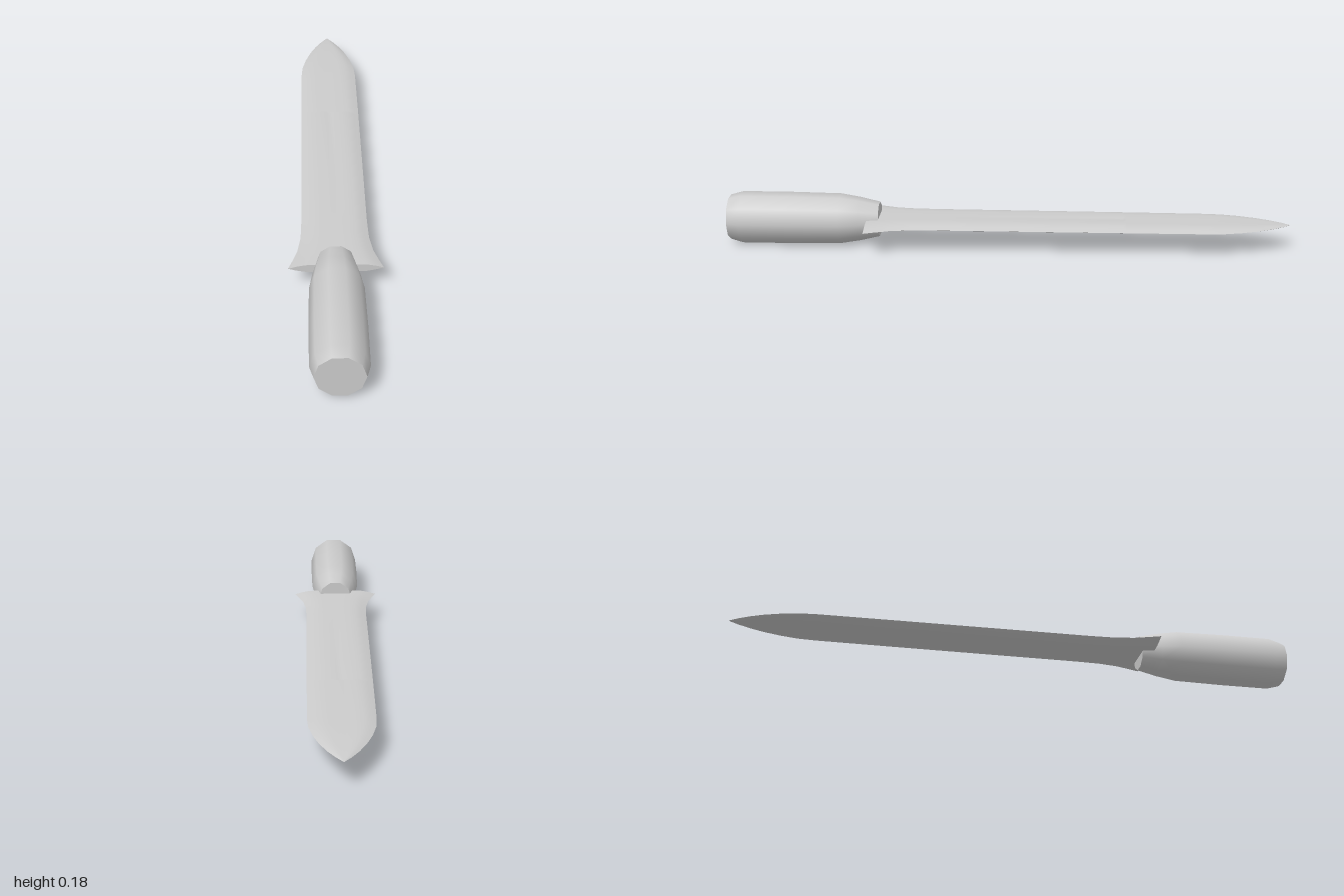
import * as THREE from 'three';

const CY = 0.09; // height of the long axis

// Skin over a grid of points; flip reverses the facing
function skin(rows, flip) {
  const n = rows[0].length, pos = rows.flat(2), idx = [];
  for (let r = 0; r < rows.length - 1; r++) {
    for (let c = 0; c < n - 1; c++) {
      const a = r * n + c, b = a + 1, d = a + n, e = d + 1;
      if (flip) idx.push(a, d, b, b, d, e);
      else idx.push(a, b, d, b, e, d);
    }
  }
  const g = new THREE.BufferGeometry();
  g.setAttribute('position', new THREE.Float32BufferAttribute(pos, 3));
  g.setIndex(idx);
  g.computeVertexNormals();
  return g;
}

export function createModel() {
  const model = new THREE.Group();
  const steel = new THREE.MeshStandardMaterial({ color: 0xcccccc });
  steel.name = 'light grey';
  const add = (name, geo, parent = model) => {
    const m = new THREE.Mesh(geo, steel);
    m.name = name;
    parent.add(m);
    return m;
  };

  // Blade stations: z, half width, half thickness, groove depth
  const stations = [
    [0.5, 0.157, 0.015, 0], [0.46, 0.142, 0.015, 0], [0.41, 0.126, 0.015, 0],
    [0.34, 0.115, 0.015, 0], [0.25, 0.112, 0.015, 0], [0, 0.111, 0.0145, 0],
    [-0.41, 0.109, 0.0135, 0.003], [-0.42, 0.109, 0.0135, 0], [-0.7, 0.107, 0.0125, 0],
    [-0.76, 0.103, 0.012, 0], [-0.82, 0.09, 0.011, 0], [-0.88, 0.07, 0.009, 0],
    [-0.93, 0.047, 0.007, 0], [-0.97, 0.023, 0.004, 0], [-1, 0.0005, 0.0005, 0],
  ];
  // Lens section: fraction of half width, fraction of half thickness, in the groove
  const half = [[1, 0, 0], [0.83, 0.52, 0], [0.64, 0.92, 0], [0.4, 1, 0], [0.13, 1, 0], [0.1, 1, 1]];
  const section = [...half.map(([f, h, g]) => [-f, h, g]), ...half.slice().reverse()];
  const surface = (s) => stations.map(([z, w, t, d]) =>
    section.map(([f, h, g]) => [f * w, CY + s * (h * t - g * d), z]));

  const blade = new THREE.Group();
  blade.name = 'blade';
  model.add(blade);
  const upper = surface(1), lower = surface(-1);
  add('bladeUpperFace', skin(upper, false), blade);
  add('bladeLowerFace', skin(lower, true), blade);
  add('bladeBase', skin([lower[0], upper[0]], false), blade);

  // Ten-sided handle with a bevelled butt and a tapered neck
  const handle = new THREE.Group();
  handle.name = 'handle';
  handle.position.y = CY;
  model.add(handle);
  const profile = [[0.062, 0.46], [0.078, 0.53], [0.0895, 0.6], [0.0925, 0.78], [0.0925, 0.955], [0.08, 1]]
    .map(([r, z]) => new THREE.Vector2(r, z));
  add('grip', new THREE.LatheGeometry(profile, 10, Math.PI / 2).rotateX(Math.PI / 2), handle);
  add('buttCap', new THREE.CircleGeometry(0.08, 10).translate(0, 0, 1), handle);
  add('neckCap', new THREE.CircleGeometry(0.062, 10).rotateY(Math.PI).translate(0, 0, 0.46), handle);

  return model;
}
